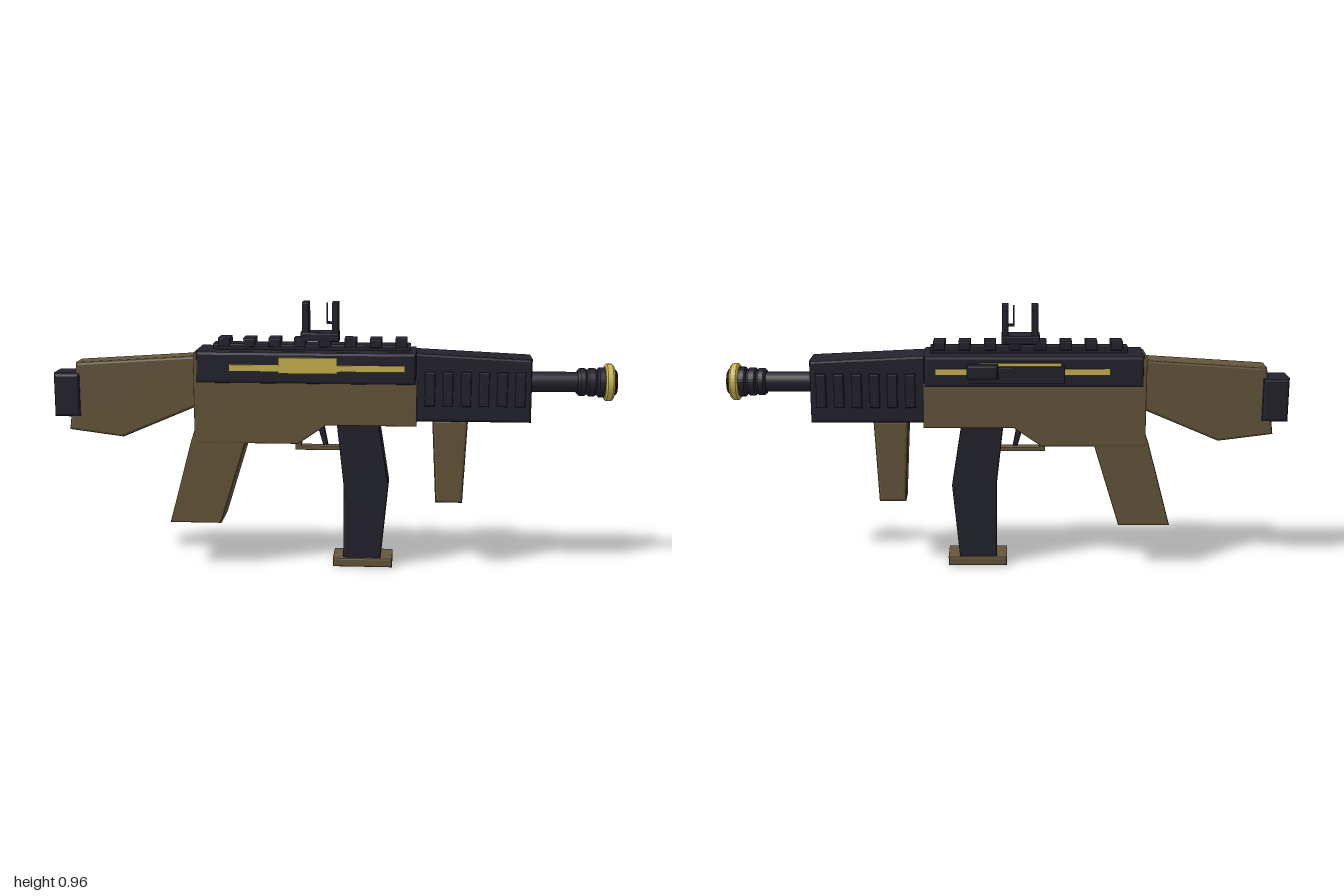
import * as THREE from 'three';

const ZC = 0.014; // centre plane of the body

export function createModel() {
  const root = new THREE.Group();
  root.name = 'toyBlaster';
  const mat = (name, color) => {
    const m = new THREE.MeshStandardMaterial({ color });
    m.name = name;
    return m;
  };
  const dark = mat('charcoal', 0x23222e);
  const brown = mat('brown', 0x65563a);
  const gold = mat('gold', 0xccb64c);

  const add = (name, geo, material, x = 0, y = 0, z = 0) => {
    const mesh = new THREE.Mesh(geo, material);
    mesh.name = name;
    mesh.position.set(x, y, z);
    root.add(mesh);
    return mesh;
  };
  // Side profile extruded across the body, with softened edges
  const slab = (name, pts, halfWidth, material, bevel = 0.008, z = ZC) => {
    const shape = new THREE.Shape(pts.map(p => new THREE.Vector2(p[0], p[1])));
    const geo = new THREE.ExtrudeGeometry(shape, {
      depth: 2 * (halfWidth - bevel), bevelEnabled: bevel > 0, bevelThickness: bevel,
      bevelSize: bevel, bevelOffset: -bevel, bevelSegments: 2,
    });
    geo.translate(0, 0, -(halfWidth - bevel));
    return add(name, geo, material, 0, 0, z);
  };
  const block = (name, x0, x1, y0, y1, halfWidth, material, bevel = 0.005, z = ZC) =>
    slab(name, [[x0, y0], [x1, y0], [x1, y1], [x0, y1]], halfWidth, material, bevel, z);
  const box = (name, x0, x1, y0, y1, z0, z1, material) =>
    add(name, new THREE.BoxGeometry(x1 - x0, y1 - y0, z1 - z0), material,
      (x0 + x1) / 2, (y0 + y1) / 2, (z0 + z1) / 2);

  // Receiver
  slab('lowerReceiver', [[-0.49, 0.46], [-0.12, 0.46], [-0.02, 0.528], [0.3, 0.528],
    [0.3, 0.69], [0.28, 0.69], [0.28, 0.782], [-0.49, 0.782]], 0.083, brown, 0.004);
  block('upperReceiver', -0.48, 0.296, 0.675, 0.79, 0.089, dark, 0.012);

  // Pistol grip
  slab('pistolGrip', [[-0.585, 0.163], [-0.4, 0.163], [-0.305, 0.47], [-0.36, 0.52],
    [-0.485, 0.52], [-0.502, 0.47]], 0.082, brown, 0.006);

  // Stock and butt pad
  slab('stock', [[-0.95, 0.495], [-0.755, 0.47], [-0.485, 0.585], [-0.485, 0.768],
    [-0.918, 0.74]], 0.051, brown, 0.01);
  block('buttPad', -1, -0.905, 0.543, 0.702, 0.059, dark, 0.012);

  // Handguard with raised side ribs
  slab('handguard', [[0.29, 0.543], [0.7, 0.543], [0.7, 0.768], [0.29, 0.788]], 0.068, dark, 0.01);
  for (let i = 0; i < 6; i++) {
    const x = 0.345 + i * 0.063;
    block('handguardRib', x - 0.018, x + 0.018, 0.6, 0.722, 0.077, dark, 0.005);
  }

  // Foregrip
  slab('foregrip', [[0.37, 0.243], [0.466, 0.243], [0.481, 0.546], [0.355, 0.546]], 0.049, brown, 0.01);

  // Magazine
  slab('magazine', [[0.04, 0.03], [0.175, 0.03], [0.202, 0.305], [0.165, 0.54],
    [0.015, 0.54], [0.04, 0.31]], 0.056, dark, 0.006);
  block('magazineBase', 0.003, 0.217, 0.002, 0.036, 0.065, brown, 0.007);

  // Trigger and its guard
  block('triggerGuard', -0.135, 0.03, 0.425, 0.44, 0.02, brown, 0.003);
  slab('triggerGuardRear', [[-0.135, 0.43], [-0.115, 0.43], [-0.11, 0.475], [-0.135, 0.475]], 0.02, brown, 0.003);
  slab('trigger', [[-0.035, 0.443], [-0.018, 0.443], [-0.035, 0.53], [-0.06, 0.53]], 0.012, dark, 0.003);

  // Barrel and muzzle, turned along x
  const turned = (name, profile, material) => {
    const points = [];
    profile.forEach(p => points.push(new THREE.Vector2(p[1], p[0])));
    const geo = new THREE.LatheGeometry(points, 32).toNonIndexed();
    geo.computeVertexNormals();
    geo.rotateZ(-Math.PI / 2);
    return add(name, geo, material, 0, 0.68, ZC);
  };
  turned('barrel', [[0.68, 0], [0.68, 0.036], [0.9, 0.036], [0.9, 0]], dark);
  turned('muzzle', [[0.862, 0], [0.862, 0.042], [0.87, 0.049], [0.888, 0.049], [0.895, 0.043],
    [0.902, 0.05], [0.922, 0.05], [0.93, 0.044], [0.937, 0.053], [0.96, 0.053],
    [0.965, 0.046], [0.994, 0.046], [1, 0.04], [1, 0]], dark);
  turned('muzzleRing', [[0.957, 0.044], [0.957, 0.059], [0.963, 0.066], [0.981, 0.066],
    [0.988, 0.059], [0.988, 0.044]], gold);

  // Top rail with teeth
  block('rail', -0.425, 0.275, 0.785, 0.81, 0.036, dark, 0.004);
  for (let i = 0; i < 8; i++) {
    const x = -0.385 + i * 0.0897;
    block('railTooth', x - 0.021, x + 0.021, 0.8, 0.831, 0.04, dark, 0.004);
  }

  // Open sight
  block('sightBase', -0.113, 0.023, 0.82, 0.852, 0.041, dark, 0.005);
  block('sightRearPlate', -0.108, -0.084, 0.84, 0.957, 0.038, dark, 0.004);
  block('sightFrontPlate', -0.002, 0.02, 0.84, 0.957, 0.038, dark, 0.004);
  box('sightPin', -0.023, -0.018, 0.885, 0.955, ZC - 0.004, ZC + 0.004, dark);
  box('sightPinArm', -0.023, 0, 0.88, 0.888, ZC - 0.004, ZC + 0.004, dark);

  // Gold side trim
  for (const s of [1, -1]) {
    const face = ZC + s * 0.09;
    box('sideStripe', -0.36, 0.255, 0.722, 0.744, face - 0.004, face + 0.004, gold);
  }
  box('sidePanel', -0.187, 0.02, 0.715, 0.771, 0.104, 0.113, gold);

  // Bolt cover and charging handle on the far side
  box('boltPanel', -0.187, 0.1, 0.73, 0.765, -0.085, -0.076, gold);
  block('boltCover', -0.2, 0.14, 0.695, 0.755, 0.011, dark, 0.004, -0.084);
  block('chargingHandle', 0.035, 0.145, 0.712, 0.764, 0.018, dark, 0.008, -0.093);

  return root;
}
